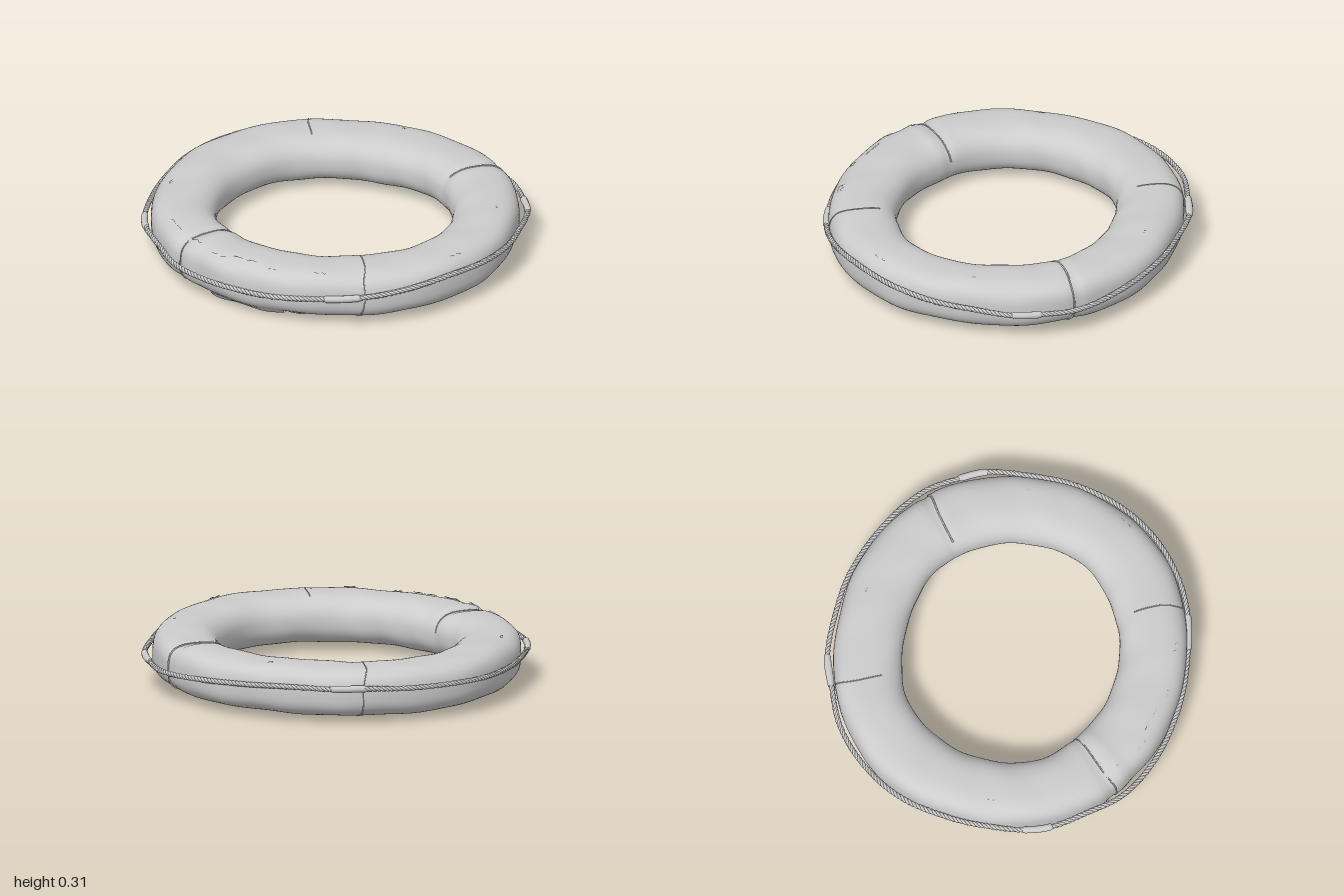
import * as THREE from 'three';

const TAU = Math.PI * 2;
const material = new THREE.MeshStandardMaterial({ color: 0xcccccc, roughness: 0.8 });
const sheetMaterial = new THREE.MeshStandardMaterial({ color: 0xcccccc, side: THREE.DoubleSide });
const bump = (a, centre, width) => {
  const d = Math.atan2(Math.sin(a - centre), Math.cos(a - centre)) / width;
  return Math.exp(-d * d);
};
const spow = (v, e) => Math.sign(v) * Math.abs(v) ** e;

// Radius of a slightly squared ellipse in plan
const planRadius = (a, rx, rz, n) =>
  (Math.abs(Math.cos(a) / rx) ** n + Math.abs(Math.sin(a) / rz) ** n) ** (-1 / n);

// Point on the ring: a goes round the plan, p round the section (0 = outermost)
function ringPoint(a, p, off = 0) {
  const outer = planRadius(a, 0.967, 0.925, 2.12) - 0.014 * bump(a, 2.2, 0.12);
  const inner = planRadius(a, 0.622, 0.567, 2.12) + 0.006 * Math.sin(5 * a);
  const mid = (outer + inner) / 2;
  const c = Math.cos(p), s = Math.sin(p);
  const e = 2 / (c > 0 ? 2.9 : 2.35);
  // Creases near two of the joints, and soft waviness of the cloth
  const crease = 0.012 * bump(a, 2.34, 0.035) + 0.01 * bump(a, -0.7, 0.03) - 0.006 * bump(a, 2.24, 0.04);
  const wave = 0.002 * Math.sin(9 * a + 2 * p) + 0.0015 * Math.sin(17 * a - 3 * p);
  const d = off + wave - crease * (0.5 + 0.5 * Math.sin(p + 0.6));
  const r = mid + spow(c, e) * ((outer - inner) / 2 + d);
  const y = 0.166 + 0.006 * Math.cos(a) + spow(s, e) * (0.133 + d);
  return new THREE.Vector3(r * Math.cos(a), y, r * Math.sin(a));
}

// Surface from a point rule; closed grids wrap in both directions
function gridGeometry(fn, nu, nv, closed) {
  const pos = [], index = [];
  const cu = closed ? nu : nu + 1, cv = closed ? nv : nv + 1;
  for (let i = 0; i < cu; i++)
    for (let j = 0; j < cv; j++) pos.push(...fn(i / nu, j / nv).toArray());
  for (let i = 0; i < nu; i++)
    for (let j = 0; j < nv; j++) {
      const i2 = (i + 1) % cu, j2 = (j + 1) % cv;
      const a = i * cv + j, b = i * cv + j2, c = i2 * cv + j2, d = i2 * cv + j;
      index.push(a, b, d, b, c, d);
    }
  const g = new THREE.BufferGeometry();
  g.setAttribute('position', new THREE.Float32BufferAttribute(pos, 3));
  g.setIndex(index);
  g.computeVertexNormals();
  return g;
}

// Plan points and heights of the grab line
const ropePath = new THREE.CatmullRomCurve3([
  [-0.24, 0.21, -0.935], [0, 0.21, -0.943], [0.25, 0.2, -0.915], [0.55, 0.18, -0.8],
  [0.78, 0.165, -0.64], [0.9, 0.17, -0.46], [0.962, 0.177, -0.32], [0.982, 0.19, -0.1],
  [0.98, 0.2, 0.1], [0.92, 0.22, 0.35], [0.79, 0.235, 0.58], [0.6, 0.215, 0.765],
  [0.38, 0.19, 0.875], [0.1, 0.172, 0.927], [-0.1, 0.162, 0.933], [-0.4, 0.165, 0.88],
  [-0.65, 0.17, 0.755], [-0.8, 0.185, 0.585], [-0.92, 0.185, 0.41], [-0.962, 0.18, 0.28],
  [-0.982, 0.18, 0.1], [-0.98, 0.18, -0.1], [-0.925, 0.19, -0.39], [-0.8, 0.2, -0.61],
  [-0.61, 0.205, -0.785], [-0.4, 0.21, -0.878],
].map(p => new THREE.Vector3(...p)), true);

function createRope() {
  const rope = new THREE.Group();
  rope.name = 'grabRope';
  const samples = 1000, twists = 90;
  const path = ropePath.getSpacedPoints(samples).slice(0, samples);
  for (let k = 0; k < 3; k++) {
    const points = path.map((p, i) => {
      const t = (i / samples) * TAU * twists + (k / 3) * TAU;
      const out = new THREE.Vector3(p.x, 0, p.z).normalize().multiplyScalar(Math.cos(t) * 0.0065);
      return p.clone().add(out).setY(p.y + Math.sin(t) * 0.0065);
    });
    const curve = new THREE.CatmullRomCurve3(points, true);
    const strand = new THREE.Mesh(new THREE.TubeGeometry(curve, samples, 0.0085, 6, true), material);
    strand.name = 'ropeStrand' + (k + 1);
    rope.add(strand);
  }
  return rope;
}

// Sleeve wrapped round the rope between two plan angles
function createSleeve(a0, a1) {
  const pts = ropePath.getSpacedPoints(600).filter(p => {
    const a = Math.atan2(p.z, p.x);
    return a >= a0 && a <= a1;
  });
  const group = new THREE.Group();
  group.name = 'ropeSleeve';
  const body = new THREE.CatmullRomCurve3(pts);
  const tube = new THREE.Mesh(new THREE.TubeGeometry(body, 16, 0.0185, 10), sheetMaterial);
  tube.name = 'sleeveTube';
  group.add(tube);
  for (const t of [0, 1]) {
    const cap = new THREE.Mesh(new THREE.SphereGeometry(0.0185, 10, 6), material);
    cap.name = 'sleeveEnd';
    cap.position.copy(body.getPoint(t));
    group.add(cap);
  }
  return group;
}

// Thin raised line on the ring surface
function createSeam(name, a, p0, p1, lean, radius) {
  const pts = [];
  for (let i = 0; i <= 36; i++) {
    const t = i / 36;
    pts.push(ringPoint(a + lean * t + 0.006 * Math.sin(t * 13), p0 + (p1 - p0) * t, 0.001));
  }
  const curve = new THREE.CatmullRomCurve3(pts);
  const mesh = new THREE.Mesh(new THREE.TubeGeometry(curve, 72, radius, 5), material);
  mesh.name = name;
  return mesh;
}

// Small ragged piece of peeling cover lying on the ring
function createScrap(name, a, p, da, dp, lift) {
  const mesh = new THREE.Mesh(gridGeometry((u, v) => {
    const ragged = 0.75 + 0.25 * Math.sin(u * 11 + a * 7);
    const off = 0.003 + lift * v * v * (0.6 + 0.4 * Math.sin(u * 9));
    return ringPoint(a + (u - 0.5) * da, p + (v - 0.5) * dp * ragged, off);
  }, 18, 6, false), sheetMaterial);
  mesh.name = name;
  return mesh;
}

export function createModel() {
  const model = new THREE.Group();
  model.name = 'lifebuoy';

  const ring = new THREE.Mesh(
    gridGeometry((u, v) => ringPoint(u * TAU, v * TAU), 240, 48, true), material);
  ring.name = 'ring';
  model.add(ring, createRope());

  // Sleeves at the four fixing points
  for (const [a0, a1] of [[1.16, 1.34], [2.72, 2.86], [-0.47, -0.33], [-2.0, -1.82]])
    model.add(createSleeve(a0, a1));

  // Joints of the cover
  model.add(
    createSeam('frontSeam', 1.15, -1.2, 2.0, -0.06, 0.003),
    createSeam('rightSeam', 2.3, -1.6, 3.0, 0.04, 0.004),
    createSeam('leftSeam', -0.66, -1.6, 2.4, -0.03, 0.005),
    createSeam('backSeam', -1.95, -2.2, 1.9, -0.08, 0.003));

  // Wear on the cover
  for (const [a, p, da, dp] of [
    [1.38, 0.95, 0.07, 0.3], [1.68, 0.9, 0.05, 0.25], [2.05, 0.9, 0.1, 0.25],
    [1.88, 1.15, 0.16, 0.1], [2.28, 1.0, 0.12, 0.3], [2.5, 1.1, 0.14, 0.12],
    [0.52, 0.95, 0.08, 0.2], [-0.1, 1.3, 0.02, 0.1], [3.05, 1.2, 0.05, 0.12],
    [-1.4, 1.3, 0.03, 0.12],
  ]) model.add(createScrap('coverScuff', a, p, da, dp, 0.004));
  model.add(
    createScrap('looseFlap', 1.85, -0.85, 0.5, -0.5, 0.012),
    createScrap('lowerFlap', 1.68, -1.2, 0.4, -0.45, 0.025),
    createScrap('sideFlap', 2.2, -1.1, 0.25, -0.4, 0.012));
  return model;
}
